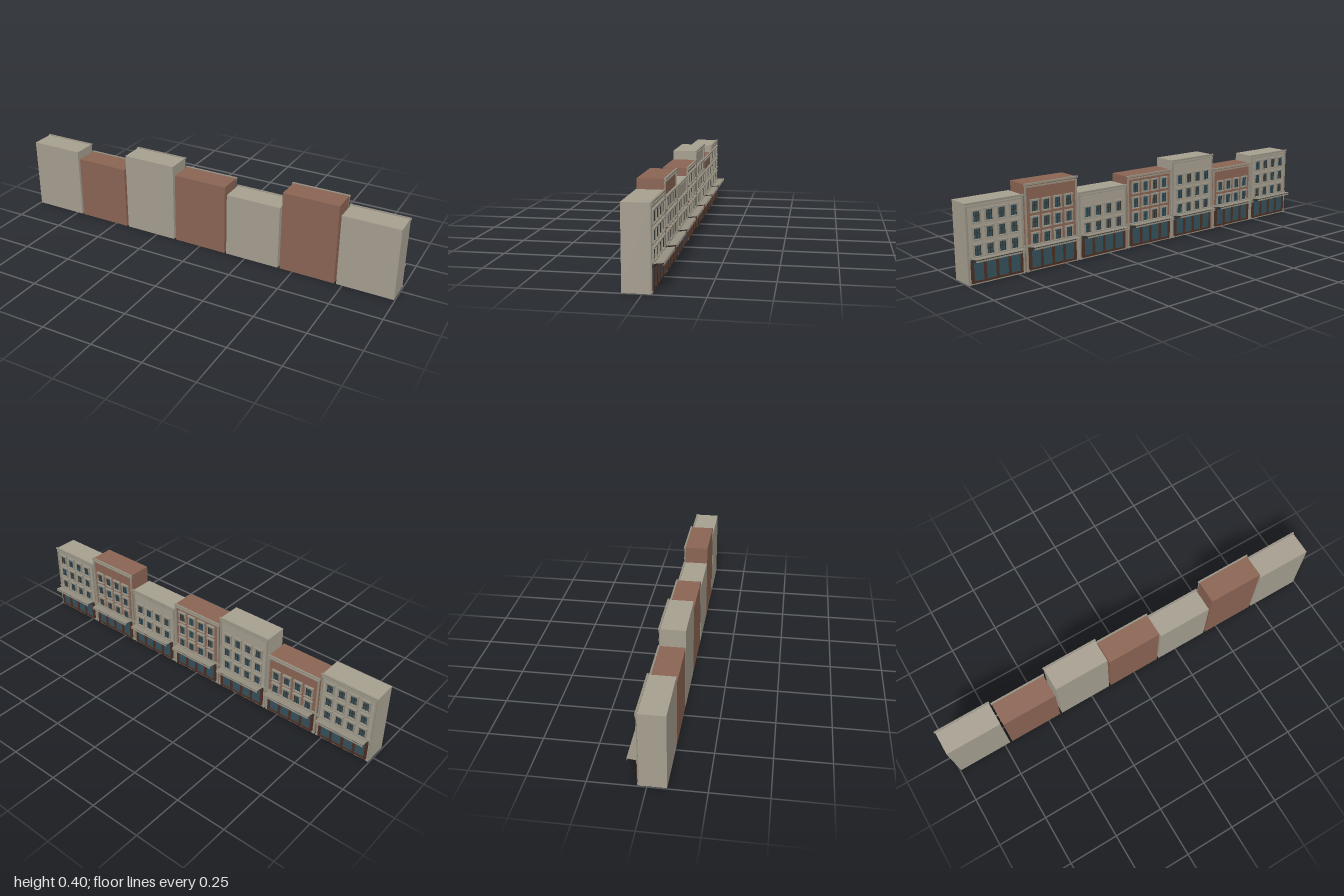
import * as THREE from 'three';

const mat = (name, color, side = THREE.FrontSide) => {
  const m = new THREE.MeshStandardMaterial({ color, side });
  m.name = name;
  return m;
};

const PITCH = 0.286, BODY_W = 0.275, BAND_W = 0.284;
const BACK = 0.083, WALL = -0.033; // the decorated street side faces -z
const ROW0 = 0.12, ROW_STEP = 0.0745, WIN_H = 0.06, WIN_W = 0.042, WIN_PITCH = 0.06;

export function createModel() {
  const stone = mat('stone', 0xa69f90);
  const brick = mat('brick', 0x8a6453);
  const trim = mat('trim', 0x969082);
  const glass = mat('glass', 0x35505c);
  const wood = mat('dark wood', 0x4a2f24);
  const frame = mat('dark frame', 0x33332f);

  const root = new THREE.Group();
  root.name = 'shopRow';

  // Box given by centre x, bottom and top y, and depth outward from z0 to z1
  const box = (parent, name, material, x, w, y0, y1, z0, z1) => {
    const m = new THREE.Mesh(new THREE.BoxGeometry(w, y1 - y0, Math.abs(z1 - z0)), material);
    m.position.set(x, (y0 + y1) / 2, (z0 + z1) / 2);
    m.name = name;
    parent.add(m);
    return m;
  };

  // Sash window with surround, lintel and sill
  const addWindow = (parent, x, y) => {
    const g = new THREE.Group();
    g.name = 'window';
    g.position.set(x, y, 0);
    parent.add(g);
    const top = WIN_H, half = WIN_W / 2;
    box(g, 'windowGlass', glass, 0, WIN_W - 0.01, 0.006, top - 0.007, WALL, WALL - 0.003);
    for (const s of [-1, 1]) {
      box(g, 'windowJamb', trim, s * (half - 0.003), 0.006, 0.004, top - 0.006, WALL, WALL - 0.008);
      box(g, 'sashStile', frame, s * (half - 0.0075), 0.003, 0.006, top - 0.007, WALL, WALL - 0.005);
    }
    box(g, 'windowSill', trim, 0, WIN_W + 0.004, 0, 0.005, WALL, WALL - 0.012);
    box(g, 'windowLintel', trim, 0, WIN_W + 0.004, top - 0.007, top, WALL, WALL - 0.012);
    box(g, 'windowMullion', frame, 0, 0.003, 0.006, top - 0.007, WALL, WALL - 0.005);
    box(g, 'windowRail', frame, 0, WIN_W - 0.01, 0.03, 0.033, WALL, WALL - 0.005);
  };

  // Ground floor glazing between wooden posts
  const addShopfront = (parent) => {
    const g = new THREE.Group();
    g.name = 'shopfront';
    parent.add(g);
    box(g, 'shopGlass', glass, 0, 0.244, 0.012, 0.105, WALL, WALL - 0.005);
    box(g, 'shopKickPlate', wood, 0, 0.25, 0.009, 0.018, WALL, WALL - 0.01);
    box(g, 'shopHeader', frame, 0, 0.25, 0.1, 0.112, WALL, WALL - 0.011);
    for (let i = -2; i <= 2; i++) {
      box(g, 'shopPost', wood, i * 0.06, 0.011, 0.009, 0.105, WALL, WALL - 0.011);
    }
  };

  // Flat canopy tilted slightly up toward the street, with a hanging valance
  const addAwning = (parent) => {
    const g = new THREE.Group();
    g.name = 'awning';
    parent.add(g);
    const canopy = box(g, 'awningCanopy', trim, 0, 0.246, 0.1195, 0.1225, -0.039, -0.083);
    canopy.rotation.x = 0.13;
    box(g, 'awningValance', trim, 0, 0.246, 0.111, 0.118, -0.0805, -0.0825);
  };

  const addBuilding = (x, height, rows, wall) => {
    const b = new THREE.Group();
    b.name = 'building';
    b.position.x = x;
    root.add(b);
    box(b, 'buildingBody', wall, 0, BODY_W, 0, height, BACK, WALL);

    // Edge strips and horizontal bands
    for (const s of [-1, 1]) {
      box(b, 'edgePilaster', trim, s * 0.1345, 0.008, 0, height - 0.01, WALL, WALL - 0.005);
    }
    box(b, 'baseBand', trim, 0, 0.28, 0.004, 0.011, WALL + 0.001, WALL - 0.007);
    box(b, 'shopCornice', trim, 0, BAND_W, 0.117, 0.125, WALL + 0.001, WALL - 0.007);
    box(b, 'friezeBand', trim, 0, 0.278, height - 0.016, height - 0.011, WALL + 0.001, WALL - 0.006);
    box(b, 'roofCornice', trim, 0, BAND_W, height - 0.005, height + 0.003, WALL + 0.001, WALL - 0.008);

    for (let r = 0; r < rows; r++) {
      for (let c = 0; c < 4; c++) addWindow(b, (c - 1.5) * WIN_PITCH, ROW0 + r * ROW_STEP);
    }
    addShopfront(b);
    addAwning(b);
  };

  // Height and number of upper floors of each house, from -x to +x
  const houses = [[0.357, 3], [0.32, 2], [0.4, 3], [0.357, 3], [0.32, 2], [0.4, 3], [0.357, 3]];
  houses.forEach(([h, rows], i) => addBuilding((i - 3) * PITCH, h, rows, i % 2 ? brick : stone));
  return root;
}
